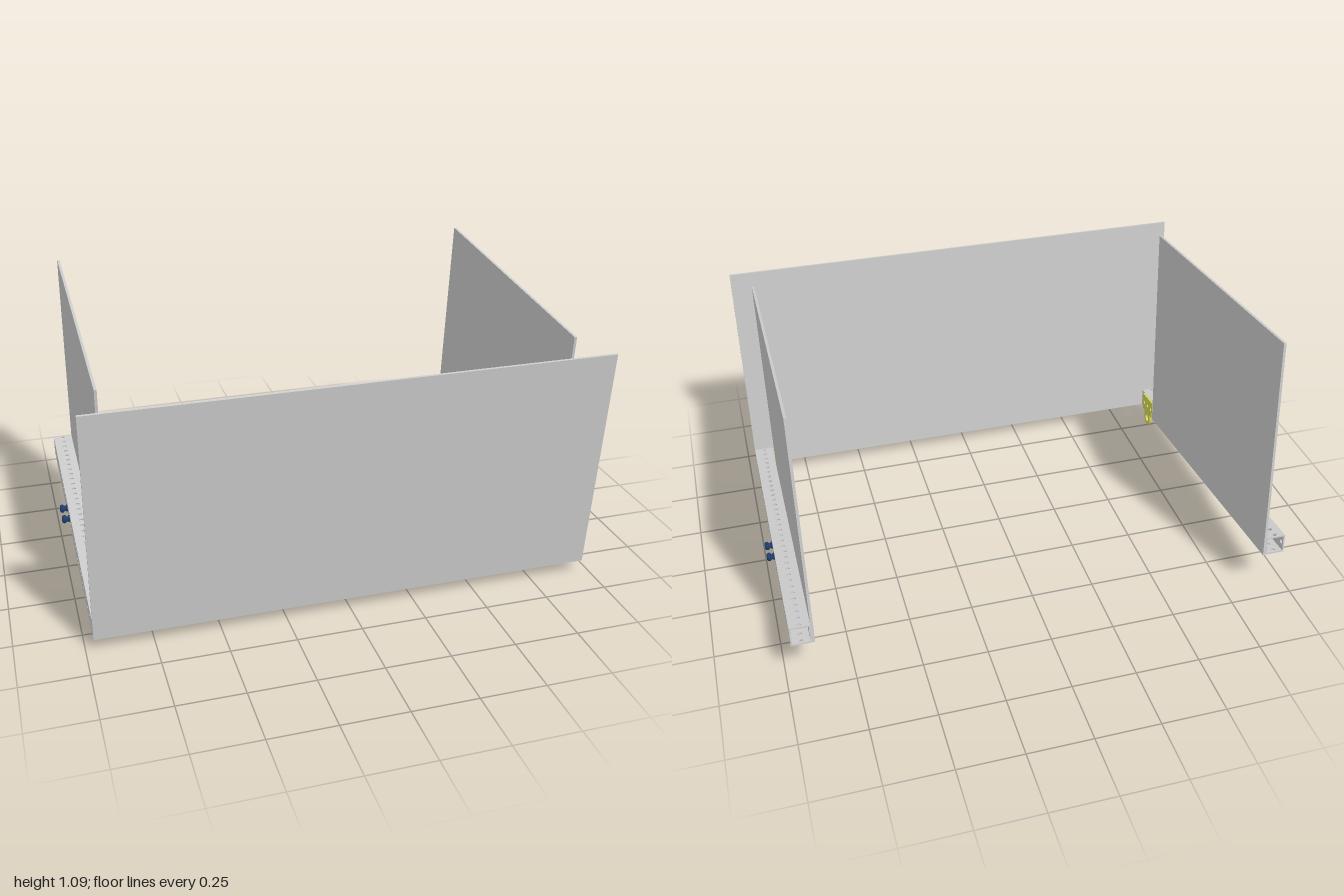
import * as THREE from 'three';

const TILT = Math.atan2(0.13, 1.32);
const W = 0.078;           // rail width and height
const WALL = 0.006;        // rail wall thickness
const SHEET = 0.01;        // panel thickness
const OUT = 0.97;          // outer face of the rails
const START = SHEET, END = 1.326; // rail extent, measured back from the front
const HOLES = 34, FIRST = 0.0245, PITCH = 0.039, HOLE_R = 0.008;

const grey = new THREE.MeshStandardMaterial({ color: 0xcccccc });
const yellow = new THREE.MeshStandardMaterial({ color: 0xd6d65c });
const navy = new THREE.MeshStandardMaterial({ color: 0x1f3c6b });

const holeAt = (i) => FIRST + i * PITCH;

function addHole(shape, s, y, r, sides = 14) {
  const hole = new THREE.Path();
  hole.absarc(s, y, r, 0, Math.PI * 2, true);
  shape.holes.push(hole);
  shape.sides = sides;
}

// Extrudes a (distance back, height) outline sideways along +x
function sideways(shape, depth, curveSegments = 14) {
  return new THREE.ExtrudeGeometry(shape, { depth, bevelEnabled: false, curveSegments })
    .rotateY(Math.PI / 2);
}

function rectangle(s0, y0, s1, y1) {
  return new THREE.Shape([[s0, y0], [s1, y0], [s1, y1], [s0, y1]]
    .map(([s, y]) => new THREE.Vector2(s, y)));
}

function mesh(name, geometry, material) {
  const m = new THREE.Mesh(geometry, material);
  m.name = name;
  return m;
}

// Hollow square tube made of four perforated walls
function makeRail(side) {
  const rail = new THREE.Group();
  rail.name = side > 0 ? 'leftRail' : 'rightRail';
  const shape = rectangle(START, -W / 2, END, W / 2 - WALL);
  for (let i = 0; i < HOLES; i++) addHole(shape, holeAt(i), 0, HOLE_R);
  const wall = sideways(shape, WALL, 14).translate(W / 2 - WALL, 0, 0);
  for (let k = 0; k < 4; k++) {
    const m = mesh('railWall', wall, grey);
    m.rotation.z = k * Math.PI / 2;
    rail.add(m);
  }
  rail.position.set(side * (OUT - W / 2), W / 2, 0);
  return rail;
}

// Perforated plate with a hanging eye, fixed to the inner face of the rail
function makeLug(side) {
  const r = 0.033, drop = -0.026, mid = holeAt(2);
  const s0 = holeAt(1) - 0.018, s1 = holeAt(3) + 0.018;
  const shape = new THREE.Shape();
  shape.moveTo(s0, W);
  shape.lineTo(s0, 0);
  shape.lineTo(mid - r, 0);
  shape.lineTo(mid - r, drop);
  shape.absarc(mid, drop, r, Math.PI, Math.PI * 2, false);
  shape.lineTo(mid + r, 0);
  shape.lineTo(s1, 0);
  shape.lineTo(s1, W);
  shape.closePath();
  addHole(shape, mid, drop, 0.017);
  for (let i = 1; i <= 3; i++) addHole(shape, holeAt(i), W / 2, HOLE_R);
  const lug = mesh('liftingEye', sideways(shape, SHEET, 20).translate(-SHEET / 2, 0, 0), yellow);
  lug.position.x = side * (OUT - W - SHEET / 2);
  return lug;
}

// Round-headed pin plugged into a rail hole
function makePin(side, index) {
  const profile = [[0, -0.03], [0.0078, -0.03], [0.0078, 0], [0.014, 0], [0.014, 0.004],
    [0.010, 0.008], [0.011, 0.012], [0.016, 0.016], [0.017, 0.021], [0.015, 0.027],
    [0.010, 0.03], [0, 0.03]].map(([x, y]) => new THREE.Vector2(x, y));
  const pin = mesh('pin', new THREE.LatheGeometry(profile, 20), navy);
  pin.rotation.z = -side * Math.PI / 2;
  pin.position.set(side * OUT, W / 2, -holeAt(index));
  return pin;
}

export function createModel() {
  const frame = new THREE.Group();
  frame.name = 'tiltedFrame';

  // Front panel across both rails
  const front = mesh('frontPanel', new THREE.BoxGeometry(OUT * 2, 0.92, SHEET), grey);
  front.position.set(0, 0.46, -SHEET / 2);
  frame.add(front);

  for (const side of [1, -1]) {
    // Side panel against the inner face of the rail
    const s0 = 0.165;
    const panel = mesh('sidePanel', new THREE.BoxGeometry(SHEET, 0.92, END - s0), grey);
    panel.position.set(side * (OUT - W - SHEET / 2), 0.46, -(s0 + END) / 2);
    frame.add(panel, makeRail(side), makeLug(side), makePin(side, 18), makePin(side, 20));
  }

  frame.rotation.x = TILT;
  frame.position.set(0, 0.05, 0.615);

  const model = new THREE.Group();
  model.name = 'model';
  model.add(frame);
  return model;
}
